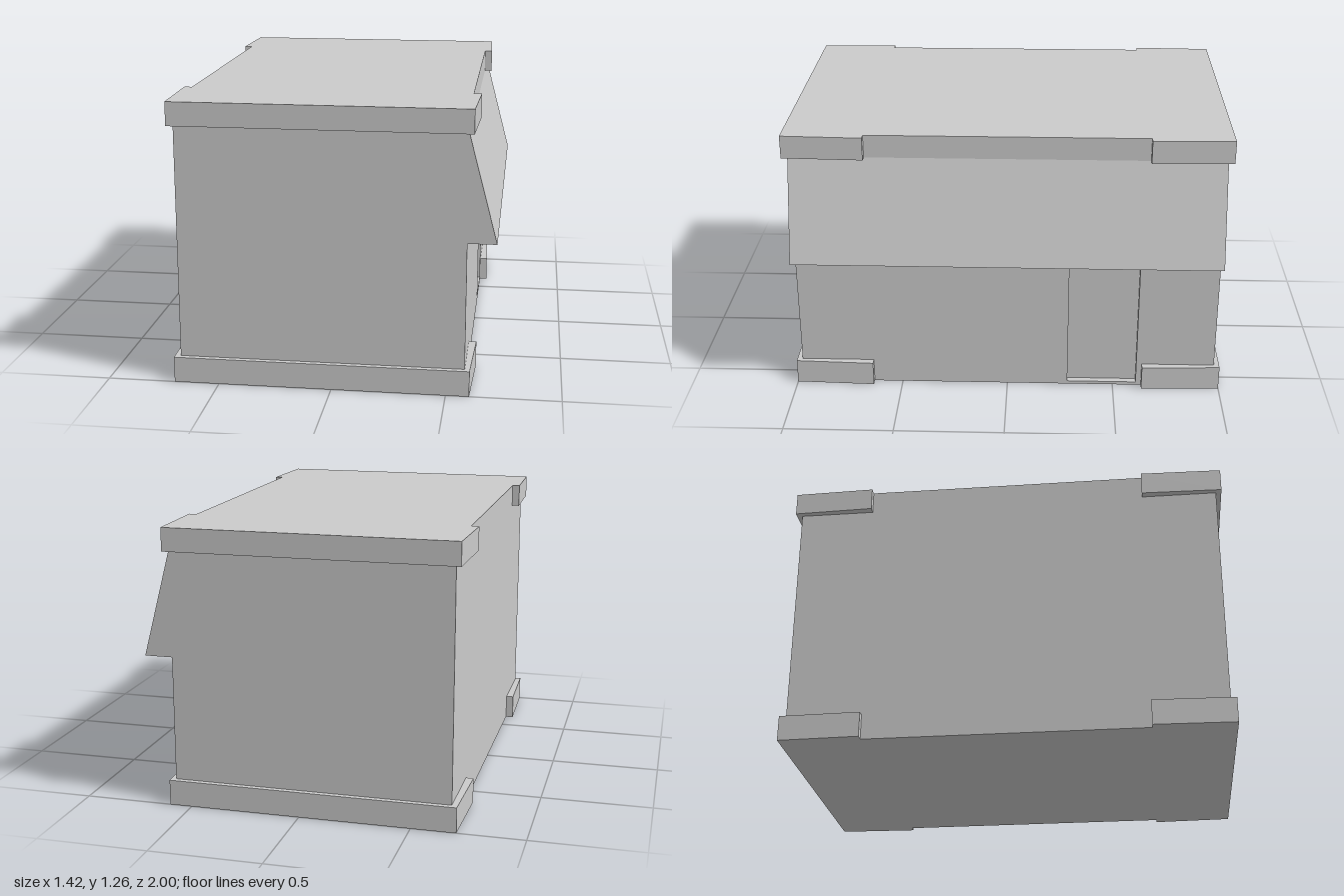
import * as THREE from 'three';

const material = new THREE.MeshStandardMaterial({ color: 0xcccccc, flatShading: true });

// Main dimensions
const LEFT = 0.58, RIGHT = -0.675, HALF_Z = 0.975, HEIGHT = 1.26, RECESS = 0.03;

function outline(points) {
  return new THREE.Shape(points.map(([x, y]) => new THREE.Vector2(x, y)));
}

function extrude(shape, depth) {
  return new THREE.ExtrudeGeometry(shape, { depth, bevelEnabled: false });
}

function addMesh(group, name, geometry) {
  const mesh = new THREE.Mesh(geometry, material);
  mesh.name = name;
  group.add(mesh);
  return mesh;
}

// U-shaped band wrapping one end of the building, slightly tapered outwards
function endBand(side, height) {
  const points = [
    [-0.71, 0.635], [-0.70, 1], [0.602, 1], [0.615, 0.635],
    [LEFT, 0.635], [LEFT, HALF_Z], [RIGHT, HALF_Z], [RIGHT, 0.635],
  ].map(([x, z]) => [x, -side * z]);
  return extrude(outline(points), height).rotateX(-Math.PI / 2);
}

export function createModel() {
  const model = new THREE.Group();
  model.name = 'shopBuilding';

  // Solid core; its exposed face forms the recessed door
  const coreWidth = LEFT - RECESS - RIGHT;
  const core = addMesh(model, 'walls', new THREE.BoxGeometry(coreWidth, HEIGHT, 2 * HALF_Z));
  core.position.set(RIGHT + coreWidth / 2, HEIGHT / 2, 0);

  // Shop-side wall layer with the door opening
  const wall = outline([[-HALF_Z, 0], [HALF_Z, 0], [HALF_Z, HEIGHT], [-HALF_Z, HEIGHT]]);
  wall.holes.push(outline([[0.285, 0.015], [0.285, 0.663], [0.61, 0.663], [0.61, 0.015]]));
  const doorWall = addMesh(model, 'doorWall', extrude(wall, RECESS).rotateY(Math.PI / 2));
  doorWall.position.x = LEFT - RECESS;

  // Sloping awning, a wedge along the whole wall
  const wedge = outline([[LEFT, 0.68], [0.706, 0.68], [LEFT, 1.155]]);
  const awning = addMesh(model, 'awning', extrude(wedge, 2 * HALF_Z));
  awning.position.z = -HALF_Z;

  // Base and roof bands at both ends
  for (const [side, end] of [[1, 'front'], [-1, 'back']]) {
    addMesh(model, `${end}BaseBand`, endBand(side, 0.115));
    addMesh(model, `${end}RoofBand`, endBand(side, 0.105)).position.y = HEIGHT - 0.105;
  }

  return model;
}
